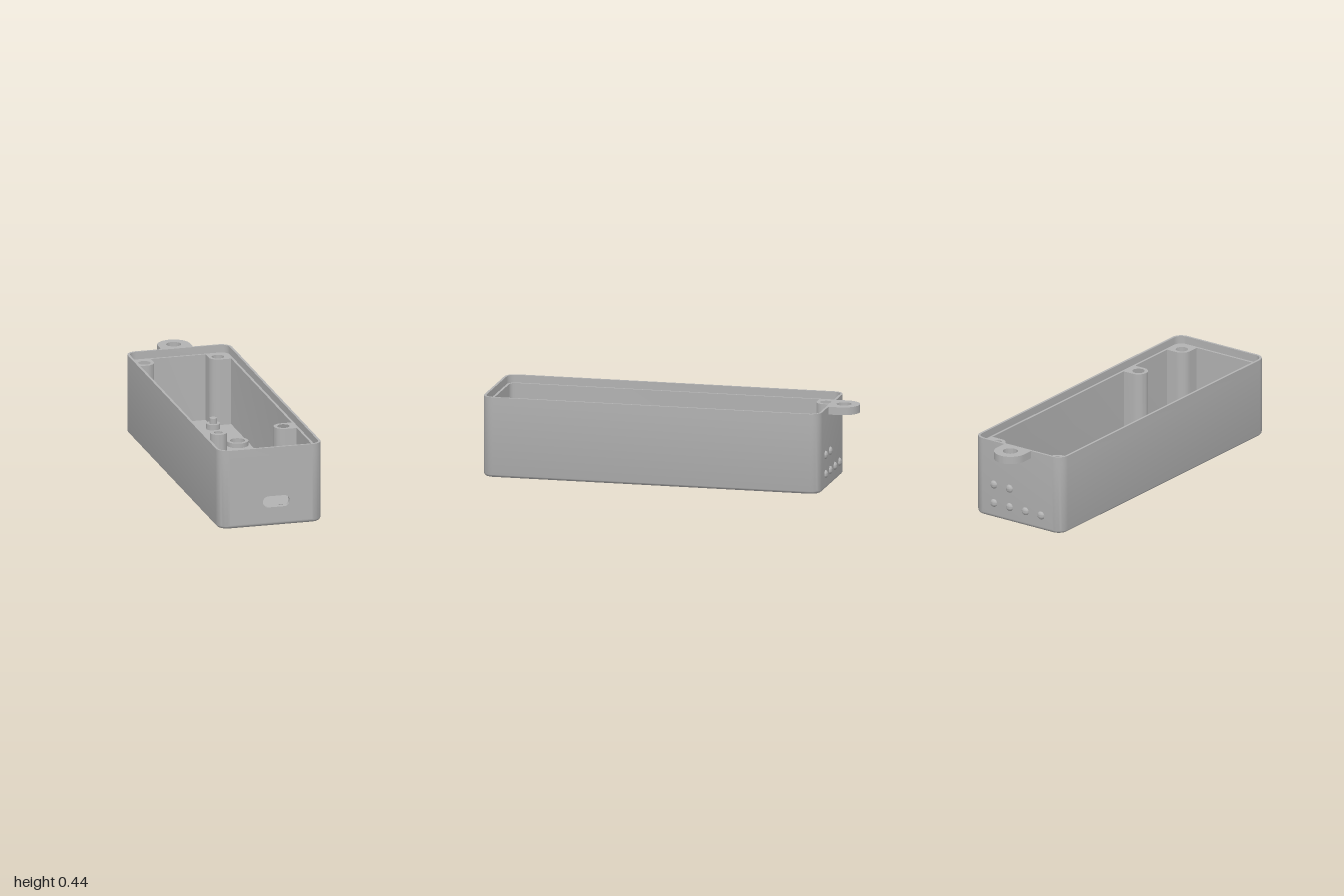
import * as THREE from 'three';
import { toCreasedNormals } from 'three/addons/utils/BufferGeometryUtils.js';

const HX = 0.288, HZ = 0.925, CZ = 0.075, R = 0.06;  // body half sizes, centre, corner radius
const TOP = 0.437, LEDGE = 0.395, FLOOR = 0.03, RIM = 0.013, WALL = 0.026, FILLET = 0.02;
const N = 8;                                         // steps per rounded corner

export function createModel() {
  const model = new THREE.Group();
  const grey = new THREE.MeshStandardMaterial({ color: 0xb2b2b2 });
  grey.name = 'grey plastic';

  function add(name, geometry, parent = model) {
    const mesh = new THREE.Mesh(toCreasedNormals(geometry, 0.5), grey);
    mesh.name = name;
    parent.add(mesh);
    return mesh;
  }

  function group(name) {
    const g = new THREE.Group();
    g.name = name;
    model.add(g);
    return g;
  }

  // Rounded rectangle outline in x and z, inset from the outer wall
  function outline(inset) {
    const points = [], signs = [[1, 1], [-1, 1], [-1, -1], [1, -1]], r = R - inset;
    signs.forEach(([sx, sz], q) => {
      for (let i = 0; i <= N; i++) {
        const a = (q + i / N) * Math.PI / 2;
        points.push(new THREE.Vector2(sx * (HX - R) + r * Math.cos(a), CZ + sz * (HZ - R) + r * Math.sin(a)));
      }
    });
    return points;
  }

  function circle(x, y, r) {
    return new THREE.Path().absarc(x, y, r, 0, Math.PI * 2, true);
  }

  // Extrude a shape drawn in x and z between two heights
  function slab(shape, bottom, top) {
    return new THREE.ExtrudeGeometry(shape, { depth: top - bottom, bevelEnabled: false, curveSegments: 32 })
      .rotateX(Math.PI / 2).translate(0, top, 0);
  }

  // Walls: bottom fillet, outer side, stepped rim and inner side
  const profile = [];
  for (let i = 0; i <= 6; i++) {
    const a = i / 6 * Math.PI / 2;
    profile.push([FILLET * (1 - Math.sin(a)), FILLET * (1 - Math.cos(a))]);
  }
  profile.push([0, LEDGE], [0, TOP], [RIM, TOP], [RIM, LEDGE], [WALL, LEDGE], [WALL, FLOOR]);
  const rings = profile.map(([inset, y]) => outline(inset).map(p => [p.x, y, p.y]));
  const positions = [];
  for (let i = 0; i < rings.length - 1; i++) {
    const slotted = i === 6 || i === rings.length - 2;  // bands closed by the front panel
    for (let j = 0; j < rings[i].length; j++) {
      if (slotted && j === N) continue;
      const k = (j + 1) % rings[i].length;
      const a = rings[i][j], b = rings[i][k], c = rings[i + 1][k], d = rings[i + 1][j];
      positions.push(...a, ...d, ...c, ...a, ...c, ...b);
    }
  }
  const walls = new THREE.BufferGeometry();
  walls.setAttribute('position', new THREE.Float32BufferAttribute(positions, 3));
  add('walls', walls);

  // Front panel with the rounded port slot
  const w = HX - R;
  const panel = new THREE.Shape([[-w, FILLET], [w, FILLET], [w, LEDGE], [-w, LEDGE]].map(p => new THREE.Vector2(...p)));
  const slot = new THREE.Path();
  slot.absarc(0.072, 0.135, 0.031, Math.PI / 2, -Math.PI / 2, true);
  slot.absarc(-0.014, 0.135, 0.031, -Math.PI / 2, -Math.PI * 1.5, true);
  slot.closePath();
  panel.holes.push(slot);
  add('frontPanel', new THREE.ExtrudeGeometry(panel, { depth: WALL, bevelEnabled: false, curveSegments: 16 })
    .translate(0, 0, CZ + HZ - WALL));

  // Floor with lens, screw, window and speaker openings
  const floor = new THREE.Shape(outline(FILLET));
  floor.holes.push(circle(0, -0.348, 0.115));
  for (const s of [-1, 1]) floor.holes.push(circle(s * 0.193, -0.348, 0.04));
  floor.holes.push(new THREE.Path([[-0.045, -0.675], [-0.045, -0.61], [0.043, -0.61], [0.043, -0.675]]
    .map(p => new THREE.Vector2(...p))));
  floor.holes.push(circle(-0.133, -0.035, 0.021));
  for (let i = 0; i < 6; i++) {
    const a = i * Math.PI / 3;
    floor.holes.push(circle(-0.133 + 0.052 * Math.cos(a), -0.035 + 0.052 * Math.sin(a), 0.021));
  }
  add('floor', slab(floor, 0, FLOOR));

  // Screw posts: sz is the end wall a corner post joins, 0 for a post on the side wall
  const posts = group('screwPosts'), PR = 0.052;
  for (const [x, z, sz] of [[-0.203, -0.767, -1], [0.203, -0.767, -1], [0.203, 0.52, 0], [0.203, 0.912, 1]]) {
    const sx = Math.sign(x), wx = HX - WALL + 0.005 - Math.abs(x);
    const wz = sz ? HZ - WALL + 0.005 - sz * (z - CZ) : 0;
    const outlinePoints = [[wx, -PR]];
    const sweep = sz ? Math.PI / 2 : Math.PI;
    for (let i = 0; i <= 16; i++) {
      const a = -Math.PI / 2 - sweep * i / 16;
      outlinePoints.push([PR * Math.cos(a), PR * Math.sin(a)]);
    }
    if (sz) outlinePoints.push([-PR, wz], [wx, wz]);
    else outlinePoints.push([wx, PR]);
    const post = new THREE.Shape(outlinePoints.map(([u, v]) => new THREE.Vector2(x + sx * u, z + (sz || 1) * v)));
    post.holes.push(circle(x, z, 0.033));
    add('screwPost', slab(post, FLOOR - 0.005, LEDGE), posts);
  }

  // Hollow bosses standing on the floor: x, z, outer radius, hole radius, top
  const bosses = group('bosses');
  for (const [x, z, r, hole, top] of [
    [-0.193, -0.348, 0.058, 0.04, 0.055], [0.193, -0.348, 0.058, 0.04, 0.055],
    [0, -0.035, 0.045, 0.023, 0.21],
    [-0.208, 0.27, 0.043, 0.013, 0.06], [0.102, 0.833, 0.043, 0.013, 0.06],
  ]) {
    const ring = new THREE.Shape().absarc(x, z, r, 0, Math.PI * 2, false);
    ring.holes.push(circle(x, z, hole));
    add('boss', slab(ring, FLOOR, top), bosses);
  }

  // Stepped locating pins
  const pins = group('locatingPins');
  for (const s of [-1, 1]) {
    for (const [r, top] of [[0.037, 0.06], [0.02, 0.09]]) {
      add('locatingPin', new THREE.CylinderGeometry(r, r, top - FLOOR, 28)
        .translate(s * 0.148, (top + FLOOR) / 2, -0.665), pins);
    }
  }

  // Hanging tab behind the rim
  const tab = new THREE.Shape();
  tab.moveTo(0.088, -0.845);
  tab.lineTo(-0.088, -0.845);
  tab.lineTo(-0.088, -0.912);
  tab.absarc(0, -0.912, 0.088, Math.PI, Math.PI * 2, false);
  tab.closePath();
  tab.holes.push(circle(0, -0.915, 0.04));
  add('hangingTab', slab(tab, LEDGE, TOP));

  // Raised dots on the back wall
  const dots = group('raisedDots');
  for (const [x, y] of [[0.155, 0.19], [0.052, 0.19], [0.155, 0.085], [0.052, 0.085], [-0.052, 0.085], [-0.155, 0.085]]) {
    add('raisedDot', new THREE.SphereGeometry(0.022, 20, 14).scale(1, 1, 0.65).translate(x, y, CZ - HZ), dots);
  }
  return model;
}
